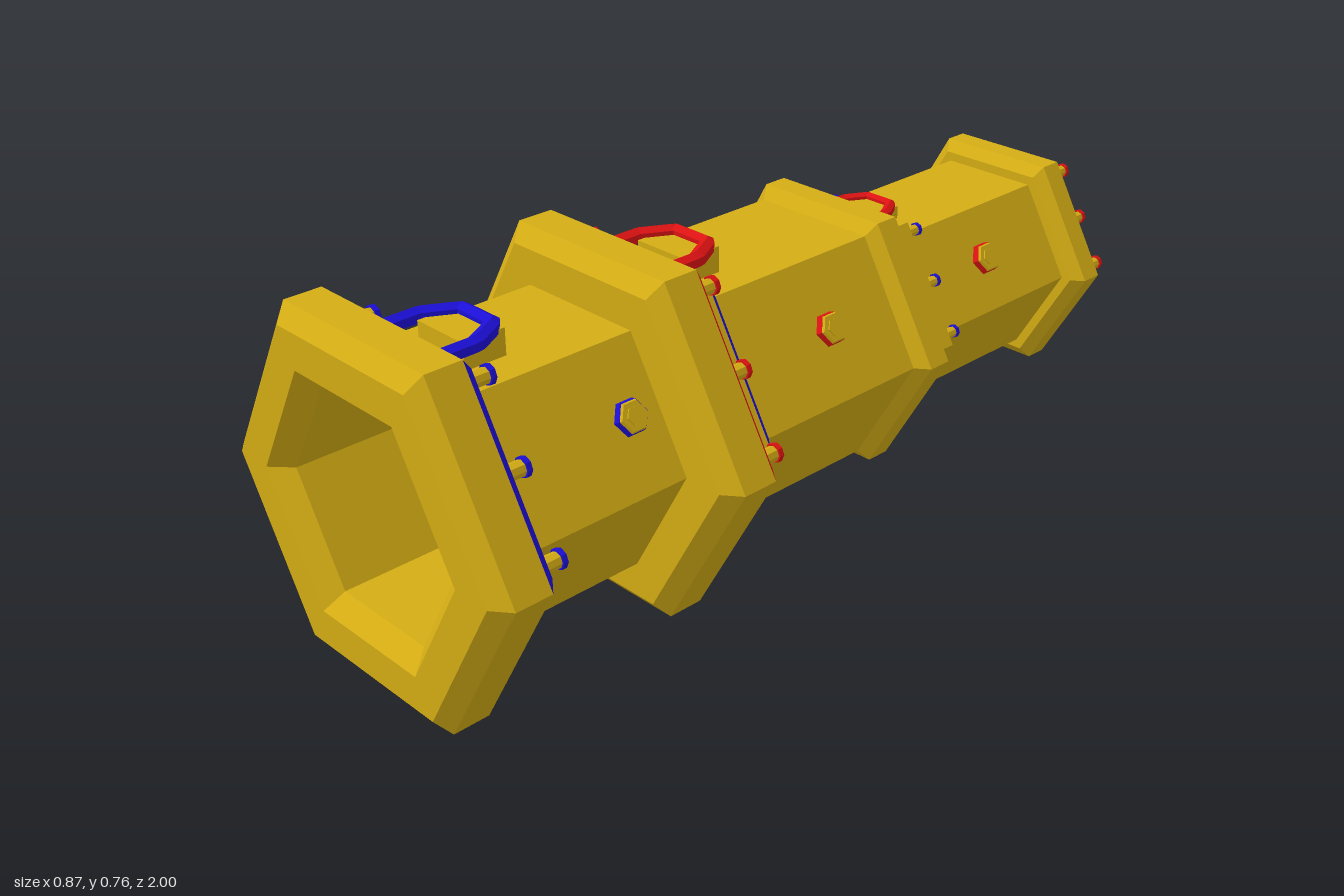
import * as THREE from 'three';

const paint = (color) => new THREE.MeshStandardMaterial({ color, flatShading: true });
const gold = paint(0xd4ac14), blue = paint(0x1c0fd6), red = paint(0xdc1212);
const AXIS_Y = 0.38;
const APOTHEM = Math.sqrt(3) / 2;

export function createModel() {
  const model = new THREE.Group();
  model.name = 'spyglass';
  const scope = new THREE.Group();
  scope.name = 'hexagonalTube';
  scope.position.y = AXIS_Y;
  model.add(scope);

  function add(name, geometry, material, parent = scope) {
    const mesh = new THREE.Mesh(geometry, material);
    mesh.name = name;
    parent.add(mesh);
    return mesh;
  }

  // Six-sided lathe along z; profile is [radius, z], running back to front on the outside
  function hex(name, profile, material) {
    const points = profile.map(([r, z]) => new THREE.Vector2(r, z));
    const geometry = new THREE.LatheGeometry(points, 6, Math.PI / 2);
    geometry.rotateX(Math.PI / 2);
    return add(name, geometry, material);
  }

  // Collar with a plain front bevel and a coloured rear bevel
  function collar(name, r, inner, front, back, bevel, color) {
    const cut = r - bevel * 1.3;
    hex(name, [[r, back + bevel], [r, front - bevel], [cut, front], [inner, front]], gold);
    hex(name + 'Band', [[cut, back], [r, back + bevel]], color);
    hex(name + 'Back', [[inner, back], [cut, back]], gold);
  }

  // Pegs at the corners and along the sides of a hexagon, pointing backwards
  function pegs(name, r, z, length, size, color, skipTop, denseBelow = false) {
    for (let side = 0; side < 6; side++) {
      const a = side * Math.PI / 3, b = a + Math.PI / 3;
      const dense = denseBelow && (side === 3 || side === 5);
      for (const t of dense ? [0, 0.25, 0.5, 0.75] : [0, 0.5]) {
        if (skipTop && side === 1 && t === 0.5) continue;
        const x = r * THREE.MathUtils.lerp(Math.cos(a), Math.cos(b), t);
        const y = r * THREE.MathUtils.lerp(Math.sin(a), Math.sin(b), t);
        const peg = new THREE.Group();
        peg.name = name;
        peg.position.set(x, y, z);
        peg.rotation.x = -Math.PI / 2;
        scope.add(peg);
        const cap = length * 0.18;
        add('pegShaft', new THREE.CylinderGeometry(size * 0.8, size * 0.8, length, 8)
          .translate(0, length / 2 - cap, 0), gold, peg);
        add('pegCap', new THREE.CylinderGeometry(size, size, cap, 8)
          .translate(0, length - cap / 2, 0), color, peg);
      }
    }
  }

  // Hexagonal studs on three alternate faces
  function studs(r, z, color) {
    for (const degrees of [30, 150, 270]) {
      const a = THREE.MathUtils.degToRad(degrees);
      const stud = new THREE.Group();
      stud.name = 'stud';
      stud.position.set(Math.cos(a) * r * APOTHEM, Math.sin(a) * r * APOTHEM, z);
      stud.rotation.z = a - Math.PI / 2;
      scope.add(stud);
      add('studRim', new THREE.CylinderGeometry(0.036, 0.04, 0.018, 6).translate(0, 0.005, 0), color, stud);
      add('studFace', new THREE.CylinderGeometry(0.032, 0.036, 0.006, 6).translate(0, 0.016, 0), gold, stud);
      add('studCentre', new THREE.CylinderGeometry(0.02, 0.02, 0.004, 6).translate(0, 0.02, 0), gold, stud);
    }
  }

  // Arched carrying loop lying flat, with a block under it
  function handle(name, y, z, s, color, blockHeight) {
    const group = new THREE.Group();
    group.name = name;
    group.position.set(0, y - AXIS_Y, z);
    scope.add(group);
    const path = new THREE.CurvePath();
    const corners = [[-0.083, 0.01], [-0.083, -0.085], [-0.045, -0.152], [0.045, -0.152], [0.083, -0.085], [0.083, 0.01]]
      .map(([x, dz]) => new THREE.Vector3(x * s, 0, dz * s));
    for (let i = 1; i < corners.length; i++) path.add(new THREE.LineCurve3(corners[i - 1], corners[i]));
    add('loop', new THREE.TubeGeometry(path, 40, 0.017 * s, 6), color, group);
    add('loopBlock', new THREE.BoxGeometry(0.13 * s, blockHeight, 0.09 * s)
      .translate(0, -blockHeight / 2, -0.115 * s), gold, group);
  }

  // Wide front stage
  collar('frontCollar', 0.437, 0.306, 1, 0.855, 0.031, blue);
  hex('frontBore', [[0.306, 1], [0.262, 0.96], [0.262, 0.335]], gold);
  hex('wideBarrel', [[0.306, -0.25], [0.306, 0.87]], gold);
  collar('middleCollar', 0.437, 0.3, 0.445, 0.3, 0.031, red);
  pegs('frontPeg', 0.355, 0.86, 0.06, 0.021, blue, true);
  pegs('middlePeg', 0.355, 0.305, 0.06, 0.021, red, true, true);
  handle('frontHandle', 0.703, 0.855, 1.08, blue, 0.06);
  handle('middleHandle', 0.703, 0.3, 1.08, red, 0.06);
  studs(0.306, 0.52, blue);
  studs(0.306, -0.04, red);

  // Middle sleeve and its step inside the bore
  hex('sleeve', [[0.337, 0.245], [0.337, 0.31]], gold);
  hex('sleeveBand', [[0.304, 0.216], [0.337, 0.245]], blue);
  hex('middleBore', [[0.264, 0.335], [0.237, 0.335], [0.203, 0.3], [0.203, -0.28]], gold);
  handle('innerHandle', 0.545, 0.24, 0.66, blue, 0.008);

  // Rear stage
  collar('rearCollar', 0.337, 0.23, -0.23, -0.337, 0.025, red);
  collar('rearSleeve', 0.291, 0.23, -0.3, -0.405, 0.022, blue);
  hex('narrowBarrel', [[0.238, -0.87], [0.238, -0.33]], gold);
  hex('rearBore', [[0.205, -0.28], [0.2, -0.28], [0.177, -0.3], [0.177, -0.86]], gold);
  pegs('sleevePeg', 0.246, -0.4, 0.045, 0.015, blue, true);
  handle('rearHandle', 0.623, -0.337, 0.77, red, 0.035);
  studs(0.238, -0.625, red);

  // Eyepiece end
  collar('eyeCollar', 0.291, 0.2, -0.86, -0.957, 0.022, red);
  hex('eyeDisc', [[0.0001, -0.955], [0.203, -0.955]], red);
  hex('lens', [[0.178, -0.86], [0.0001, -0.86]], blue);
  pegs('eyePeg', 0.24, -0.955, 0.045, 0.017, red, false);

  return model;
}
